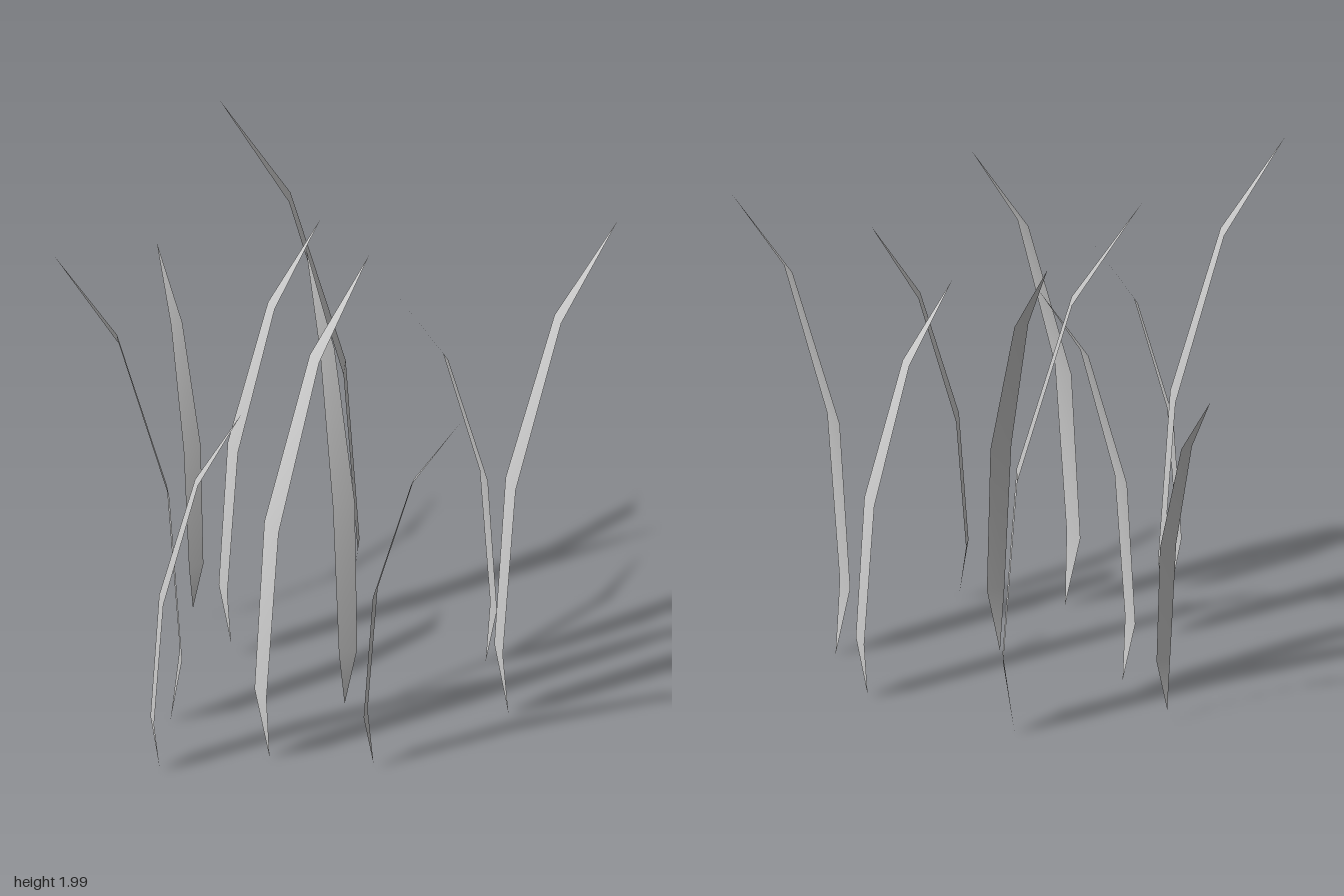
import * as THREE from 'three';

// Blade profile as fractions of the blade: height, forward reach, half width
const PROFILE = [
  [0.0, 0.0, 0.0],
  [0.14, -0.09, 0.021],
  [0.486, 0.02, 0.025],
  [0.815, 0.45, 0.0165],
  [1.0, 1.0, 0.0],
];

// Root x, y, z then tip x, y, z
const BLADES = [
  [-0.645, 0.06, -0.36, -0.856, 1.335, -0.54],
  [-0.18, 0.015, -0.59, -0.585, 2.0, -0.447],
  [-0.434, 0.06, -0.197, -0.218, 1.62, -0.453],
  [0.051, 0.02, -0.039, -0.195, 1.605, -0.278],
  [0.372, 0.02, -0.488, 0.145, 1.51, -0.263],
  [0.574, 0.01, -0.217, 0.853, 1.84, -0.5],
  [-0.045, 0.01, 0.372, 0.18, 1.84, 0.048],
  [-0.447, 0.01, 0.283, -0.79, 1.84, 0.477],
  [-0.347, 0.02, 0.603, -0.118, 1.36, 0.438],
  [0.307, 0.03, 0.305, 0.604, 1.395, 0.253],
];

// Thin bent ribbon, pointed at the root and the tip
function bladeGeometry([x0, y0, z0, x1, y1, z1]) {
  const dx = x1 - x0, dz = z1 - z0, height = y1 - y0;
  const reach = Math.hypot(dx, dz);
  const sx = -dz / reach, sz = dx / reach; // sideways direction
  const positions = [], index = [];
  for (const [up, out, half] of PROFILE) {
    for (const side of half ? [-1, 1] : [0]) {
      const w = side * half * height;
      positions.push(x0 + dx * out + sx * w, y0 + height * up, z0 + dz * out + sz * w);
    }
  }
  // root triangle, two bands, tip triangle
  index.push(0, 2, 1);
  for (const a of [1, 3]) index.push(a, a + 1, a + 3, a, a + 3, a + 2);
  index.push(5, 6, 7);
  const geometry = new THREE.BufferGeometry();
  geometry.setAttribute('position', new THREE.Float32BufferAttribute(positions, 3));
  geometry.setIndex(index);
  geometry.computeVertexNormals();
  return geometry;
}

export function createModel() {
  const group = new THREE.Group();
  group.name = 'grassTuft';
  const material = new THREE.MeshStandardMaterial({ color: 0xcccccc, side: THREE.DoubleSide });
  BLADES.forEach((blade, i) => {
    const mesh = new THREE.Mesh(bladeGeometry(blade), material);
    mesh.name = `grassBlade${i + 1}`;
    group.add(mesh);
  });
  return group;
}
